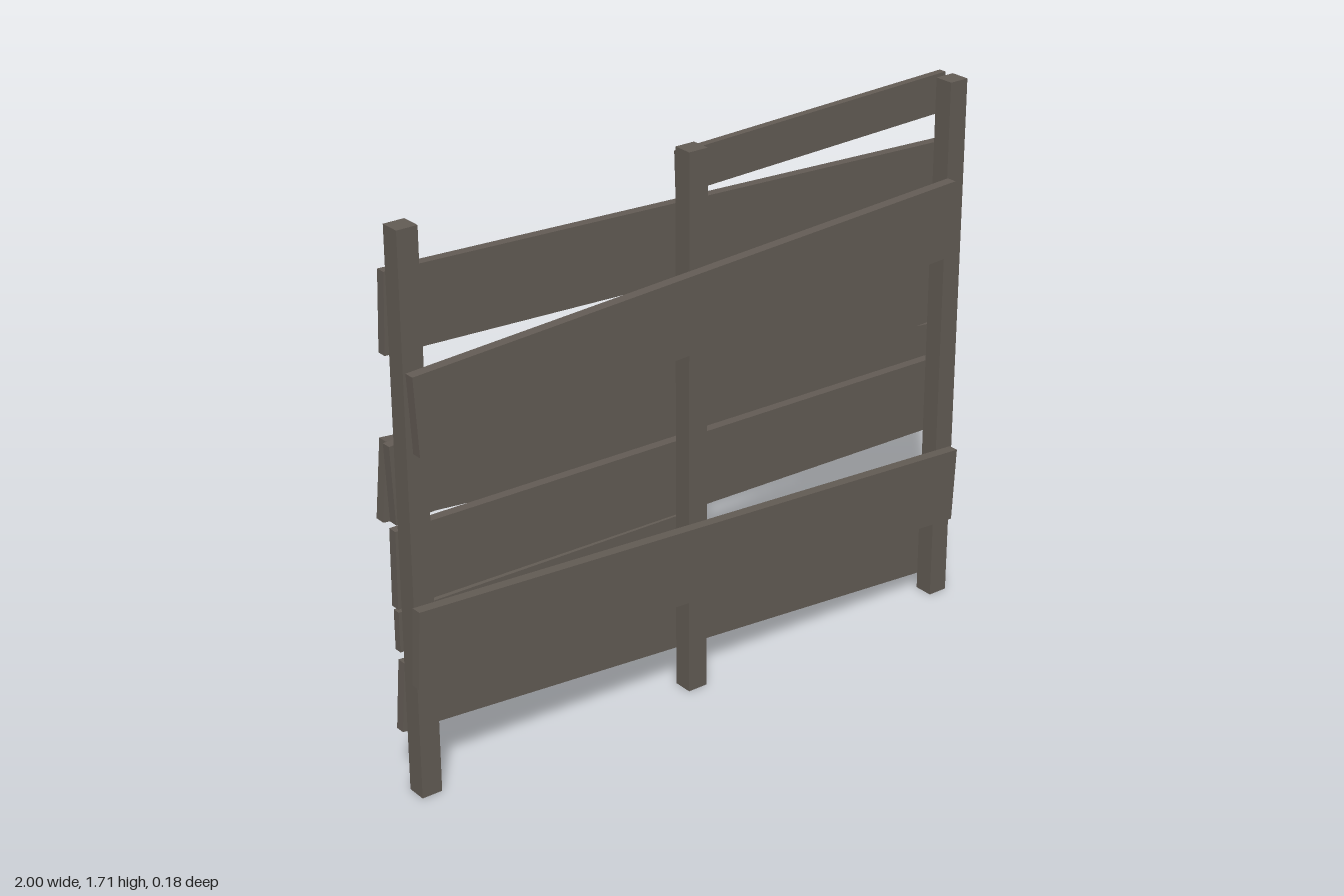
import * as THREE from 'three';

export function createModel() {
  const group = new THREE.Group();
  const wood = new THREE.MeshStandardMaterial({ color: 0x635c55 });
  wood.name = 'weathered wood';

  // Upright posts
  [-0.95, -0.005, 0.965].forEach((x) => {
    const post = new THREE.Mesh(new THREE.BoxGeometry(0.065, 1.695, 0.062), wood);
    post.name = 'post';
    post.position.set(x, 0.8475, 0.024);
    group.add(post);
  });

  // A board running between the centres of its two ends
  function addPlank(name, start, end, width, thickness) {
    const a = new THREE.Vector3(...start);
    const b = new THREE.Vector3(...end);
    const dir = b.clone().sub(a);
    const plank = new THREE.Mesh(new THREE.BoxGeometry(dir.length(), width, thickness), wood);
    plank.name = name;
    plank.position.copy(a).add(b).multiplyScalar(0.5);
    plank.quaternion.setFromUnitVectors(new THREE.Vector3(1, 0, 0), dir.normalize());
    group.add(plank);
  }

  // Boards nailed across the front
  addPlank('frontUpperPlank', [-0.968, 1.178, 0.071], [0.942, 1.281, 0.071], 0.236, 0.033);
  addPlank('frontLowerPlank', [-0.992, 0.488, 0.071], [0.985, 0.386, 0.071], 0.236, 0.033);

  // Boards nailed across the back
  addPlank('backTopShortPlank', [-0.02, 1.612, -0.02], [0.97, 1.645, -0.02], 0.122, 0.024);
  addPlank('backUpperPlank', [-0.992, 1.447, -0.022], [0.985, 1.376, -0.022], 0.234, 0.03);
  addPlank('backMiddlePlank', [-0.992, 0.95, -0.022], [0.985, 1.037, -0.022], 0.236, 0.03);
  addPlank('backOuterPlank', [-0.987, 0.942, -0.071], [0.98, 0.764, -0.071], 0.236, 0.034);
  addPlank('backLowerPlank', [-0.992, 0.695, -0.022], [0.985, 0.671, -0.022], 0.236, 0.03);
  addPlank('backLowerShortPlank', [-0.985, 0.497, -0.032], [0.03, 0.495, -0.023], 0.124, 0.025);
  addPlank('backBottomPlank', [-0.99, 0.298, -0.022], [0.982, 0.156, -0.022], 0.214, 0.03);

  return group;
}
